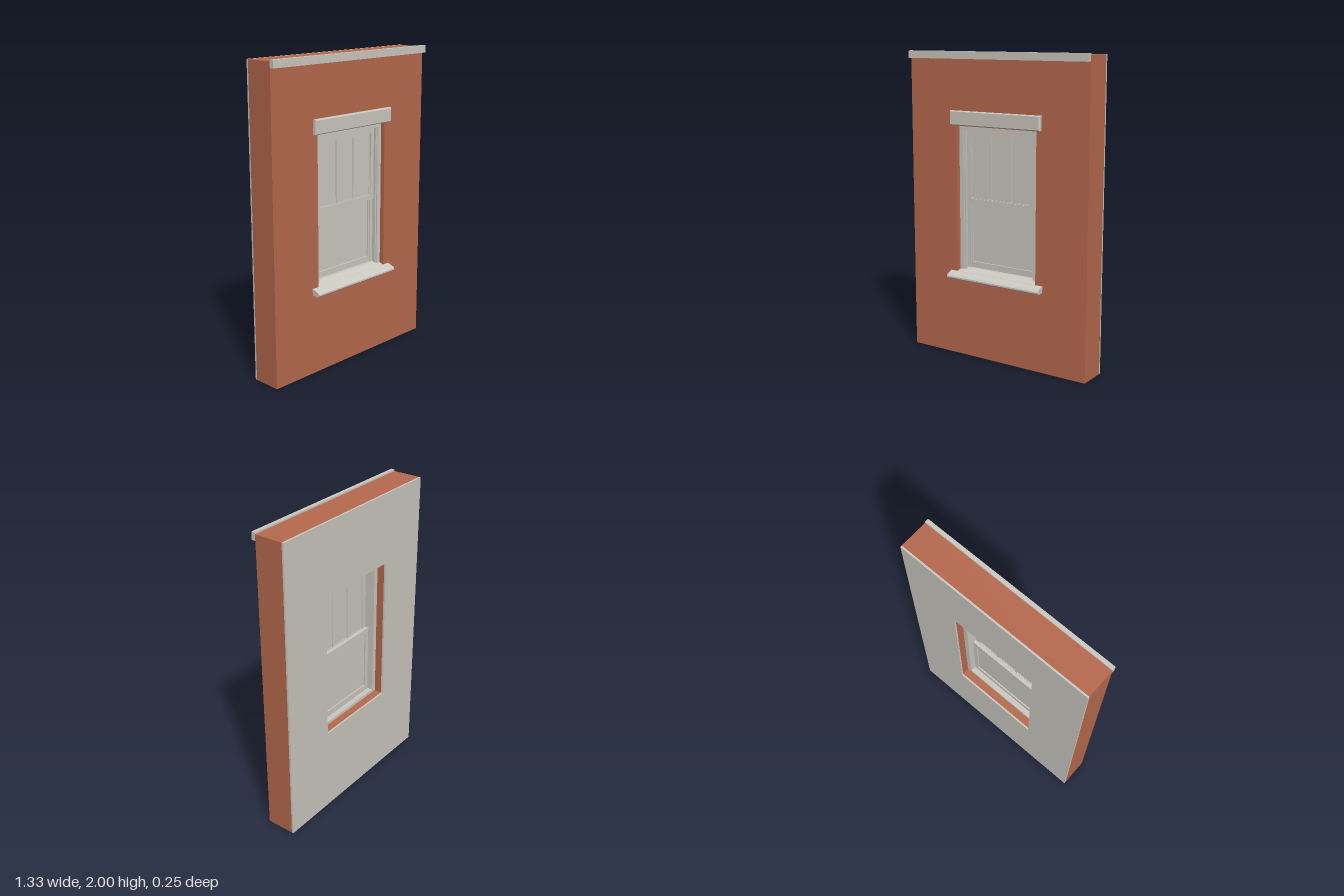
import * as THREE from 'three';

const brick = new THREE.MeshStandardMaterial({ color: 0xb7694d });
brick.name = 'brick red';
const trim = new THREE.MeshStandardMaterial({ color: 0xccc9c1 });
trim.name = 'pale grey';

// Box given by its limits on each axis
function box(parent, name, x0, x1, y0, y1, z0, z1, material = trim) {
  const mesh = new THREE.Mesh(new THREE.BoxGeometry(x1 - x0, y1 - y0, z1 - z0), material);
  mesh.position.set((x0 + x1) / 2, (y0 + y1) / 2, (z0 + z1) / 2);
  mesh.name = name;
  parent.add(mesh);
  return mesh;
}

function rectPath(target, hw, y0, y1) {
  target.moveTo(-hw, y0);
  target.lineTo(hw, y0);
  target.lineTo(hw, y1);
  target.lineTo(-hw, y1);
  target.closePath();
  return target;
}

// Rectangular ring extruded from z0 to z1
function ring(parent, name, outer, inner, z0, z1, material = trim) {
  const shape = rectPath(new THREE.Shape(), ...outer);
  shape.holes.push(rectPath(new THREE.Path(), ...inner));
  const geometry = new THREE.ExtrudeGeometry(shape, { depth: z1 - z0, bevelEnabled: false });
  const mesh = new THREE.Mesh(geometry, material);
  mesh.position.z = z0;
  mesh.name = name;
  parent.add(mesh);
}

// Side profile of [z, y] points, extruded along x
function profile(parent, name, points, hw) {
  const shape = new THREE.Shape(points.map(([z, y]) => new THREE.Vector2(-z, y)));
  const geometry = new THREE.ExtrudeGeometry(shape, { depth: hw * 2, bevelEnabled: false });
  geometry.rotateY(Math.PI / 2);
  geometry.translate(-hw, 0, 0);
  const mesh = new THREE.Mesh(geometry, trim);
  mesh.name = name;
  parent.add(mesh);
}

export function createModel() {
  const model = new THREE.Group();
  model.name = 'wallWithSashWindow';

  // Brick wall, and plaster lining on the back
  const opening = [0.30, 0.568, 1.53];
  ring(model, 'brickWall', [0.663, 0, 1.99], opening, -0.115, 0.072, brick);
  ring(model, 'plasterLining', [0.663, 0, 1.99], opening, -0.127, -0.115);

  // Band along the top of the front
  box(model, 'topBand', -0.663, 0.663, 1.952, 2, 0.072, 0.098);

  // Lintel with softened edges
  const b = 0.005;
  const lintel = new THREE.Mesh(
    new THREE.ExtrudeGeometry(rectPath(new THREE.Shape(), 0.337 - b, 1.535 + b, 1.627 - b),
      { depth: 0.026 - b, bevelThickness: b, bevelSize: b, bevelSegments: 1 }),
    trim);
  lintel.position.z = 0.072;
  lintel.name = 'lintel';
  model.add(lintel);

  // Outer sill, and the sloping sill inside the opening
  profile(model, 'outerSill', [
    [0.07, 0.526], [0.118, 0.526], [0.127, 0.533], [0.127, 0.543], [0.117, 0.554], [0.07, 0.57],
  ], 0.352);
  profile(model, 'innerSill', [
    [-0.065, 0.566], [0.072, 0.566], [0.072, 0.57], [0.02, 0.588], [-0.065, 0.588],
  ], 0.299);

  // Window frame with guide beads for the two sashes
  const frame = new THREE.Group();
  frame.name = 'windowFrame';
  model.add(frame);
  ring(frame, 'casing', [0.30, 0.568, 1.53], [0.268, 0.58, 1.503], -0.065, 0.042);
  ring(frame, 'outerBead', [0.27, 0.578, 1.505], [0.258, 0.582, 1.496], 0.02, 0.034);
  for (const s of [-1, 1]) {
    const x = s * 0.256;
    box(frame, 'partingBead', x - 0.014, x + 0.014, 0.586, 1.025, -0.004, 0.002);
  }

  // Upper sash with two glazing bars
  const upper = new THREE.Group();
  upper.name = 'upperSash';
  model.add(upper);
  ring(upper, 'upperSashFrame', [0.256, 1.022, 1.496], [0.228, 1.054, 1.466], -0.004, 0.019);
  ring(upper, 'upperGlazingBead', [0.236, 1.05, 1.474], [0.222, 1.06, 1.46], 0, 0.013);
  box(upper, 'upperPane', -0.23, 0.23, 1.05, 1.47, 0.004, 0.009);
  for (const x of [-0.076, 0.076]) {
    box(upper, 'glazingBar', x - 0.008, x + 0.008, 1.05, 1.47, -0.002, 0.016);
  }

  // Lower sash, set behind the upper one
  const lower = new THREE.Group();
  lower.name = 'lowerSash';
  model.add(lower);
  ring(lower, 'lowerSashFrame', [0.262, 0.586, 1.056], [0.232, 0.628, 1.024], -0.028, -0.005);
  box(lower, 'lowerPane', -0.235, 0.235, 0.62, 1.03, -0.019, -0.014);

  return model;
}
